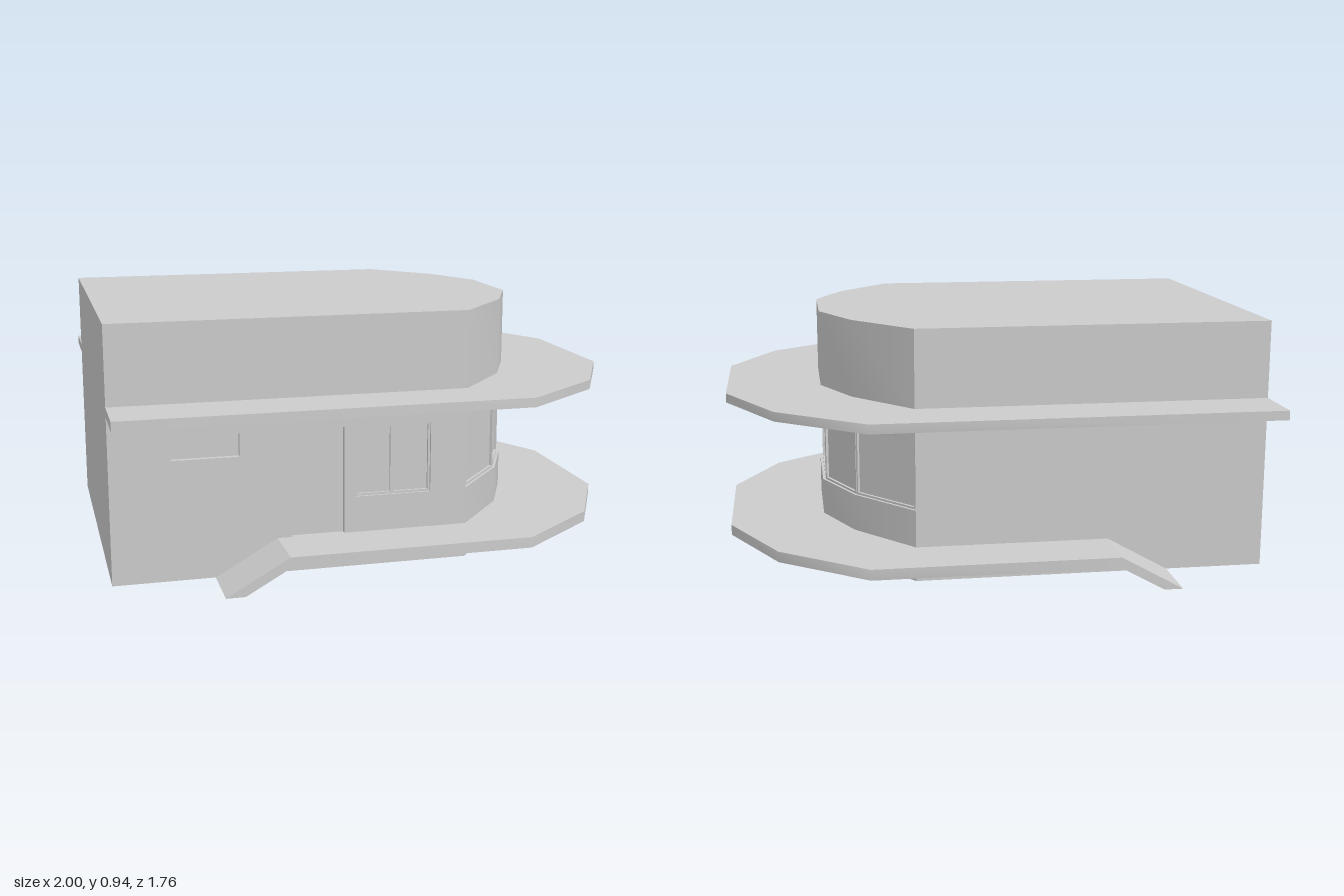
import * as THREE from 'three';
import { toCreasedNormals } from 'three/addons/utils/BufferGeometryUtils.js';

const material = new THREE.MeshStandardMaterial({ color: 0xcccccc, side: THREE.DoubleSide });
const T = 0.02; // wall thickness and depth of the recesses

// Plan outlines as [x, z], running from the back, round the bowed end, to the front.
const mirrorZ = half => [...half.map(([x, z]) => [x, -z]), ...half.slice().reverse()];
const wallPath = mirrorZ([[-1, 0.66], [0.32, 0.66], [0.53, 0.415], [0.64, 0.175]]);
const eavesPath = mirrorZ([[-1, 0.88], [0.5, 0.88], [0.82, 0.635], [1, 0.285]]);

// Moves an open outline inwards by t with mitred corners.
function inset(path, t) {
  const normals = path.slice(1).map(([x, z], i) => {
    const d = new THREE.Vector2(x - path[i][0], z - path[i][1]).normalize();
    return new THREE.Vector2(d.y, -d.x);
  });
  return path.map(([x, z], i) => {
    const a = normals[Math.max(i - 1, 0)];
    const b = normals[Math.min(i, normals.length - 1)];
    const k = t / (1 + a.dot(b));
    return [x - (a.x + b.x) * k, z - (a.y + b.y) * k];
  });
}

function mesh(name, geometry) {
  const m = new THREE.Mesh(geometry, material);
  m.name = name;
  return m;
}

// Horizontal slab: a plan outline raised from y0 to y1.
function slab(name, points, y0, y1) {
  const shape = new THREE.Shape(points.map(([x, z]) => new THREE.Vector2(x, -z)));
  const g = new THREE.ExtrudeGeometry(shape, { depth: y1 - y0, bevelEnabled: false });
  g.rotateX(-Math.PI / 2).translate(0, y0, 0);
  return mesh(name, toCreasedNormals(g, 0.72));
}

const ring = (name, outer, inner, y0, y1) => slab(name, [...outer, ...inner.slice().reverse()], y0, y1);

const rectangle = (Type, x0, x1, y0, y1) => new Type([[x0, y0], [x1, y0], [x1, y1], [x0, y1]].map(p => new THREE.Vector2(...p)));

// Framed pane centred on its origin and facing +z.
function windowPane(name, w, h, bar = 0.008) {
  const group = new THREE.Group();
  group.name = name;
  const frame = rectangle(THREE.Shape, -w / 2, w / 2, -h / 2, h / 2);
  frame.holes.push(rectangle(THREE.Path, -w / 2 + bar, w / 2 - bar, -h / 2 + bar, h / 2 - bar));
  group.add(mesh('frame', new THREE.ExtrudeGeometry(frame, { depth: 0.01, bevelEnabled: false })));
  group.add(mesh('glass', new THREE.PlaneGeometry(w, h)));
  return group;
}

export function createModel() {
  const model = new THREE.Group();
  const innerPath = inset(wallPath, T);
  const curve = wallPath.slice(1, -1);
  const innerCurve = innerPath.slice(1, -1);

  // Upper storey, roof and flat walls; the base stays open
  model.add(ring('upperWall', wallPath, innerPath, 0.65, 0.94));
  model.add(slab('roof', innerPath, 0.92, 0.94));
  model.add(slab('backWall', [[-1, -0.66], [0.32, -0.66], [0.32, -0.64], [-1, -0.64]], 0, 0.615));
  model.add(slab('endWall', [[-1, -0.64], [-0.98, -0.64], [-0.98, 0.64], [-1, 0.64]], 0, 0.92));

  // Front wall with openings for the vent, door and window
  const openings = {
    vent: [-0.78, -0.535, 0.445, 0.53],
    door: [-0.345, -0.15, 0.13, 0.53],
    window: [-0.11, 0.18, 0.265, 0.53],
  };
  const front = rectangle(THREE.Shape, -1, 0.32, 0, 0.615);
  for (const o of Object.values(openings)) front.holes.push(rectangle(THREE.Path, ...o));
  const frontGeometry = new THREE.ExtrudeGeometry(front, { depth: T, bevelEnabled: false });
  model.add(mesh('frontWall', frontGeometry.translate(0, 0, 0.64)));
  for (const name of ['vent', 'door']) {
    const [x0, x1, y0, y1] = openings[name];
    const panel = mesh(name + 'Panel', new THREE.PlaneGeometry(x1 - x0, y1 - y0));
    panel.position.set((x0 + x1) / 2, (y0 + y1) / 2, 0.641);
    model.add(panel);
  }
  for (const x of [-0.0375, 0.1075]) {
    const pane = windowPane('frontWindowPane', 0.145, 0.265);
    pane.position.set(x, 0.3975, 0.641);
    model.add(pane);
  }

  // Bowed end: wall below and above a band of five recessed panes
  model.add(ring('curvedLowerWall', curve, innerCurve, 0, 0.27));
  model.add(ring('curvedLintel', curve, innerCurve, 0.53, 0.615));
  for (let i = 0; i < innerCurve.length - 1; i++) {
    const [ax, az] = innerCurve[i], [bx, bz] = innerCurve[i + 1];
    const pane = windowPane('curvedWindowPane', Math.hypot(bx - ax, bz - az), 0.26);
    pane.position.set((ax + bx) / 2, 0.4, (az + bz) / 2);
    pane.rotation.y = Math.atan2(bz - az, ax - bx);
    model.add(pane);
  }

  // Canopy and raised walkway wrap three sides
  model.add(ring('canopy', eavesPath, innerPath, 0.615, 0.65));
  const shorten = path => path.map(([x, z]) => [Math.max(x, -0.4), z]);
  model.add(ring('walkway', shorten(eavesPath), shorten(wallPath), 0.09, 0.13));

  // Sloping ramps at both ends of the walkway
  const side = new THREE.Shape([[-0.4, 0.13], [-0.63, 0], [-0.56, 0], [-0.4, 0.09]].map(p => new THREE.Vector2(...p)));
  for (const z of [0.66, -0.88]) {
    const ramp = mesh('ramp', new THREE.ExtrudeGeometry(side, { depth: 0.22, bevelEnabled: false }));
    ramp.position.z = z;
    model.add(ramp);
  }
  return model;
}
